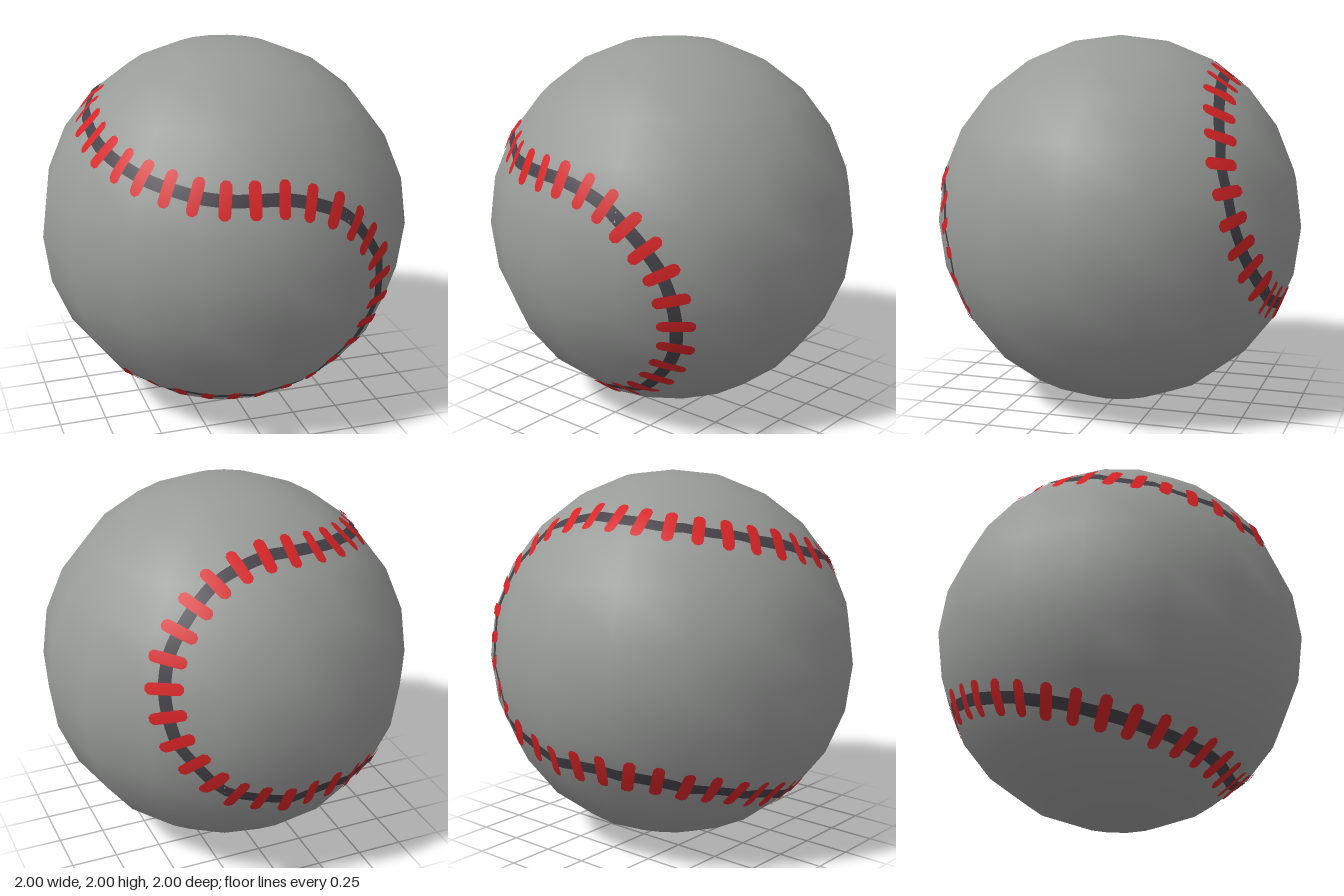
import * as THREE from 'three';

const leather = new THREE.MeshStandardMaterial({ color: 0x999b99 });
leather.name = 'greyLeather';
const dark = new THREE.MeshStandardMaterial({ color: 0x454249 });
dark.name = 'darkSeam';
const red = new THREE.MeshStandardMaterial({ color: 0xd82426 });
red.name = 'redThread';

const TILT = 14.6; // seam rotated about the x axis, degrees
const STITCHES = 60;

// One quarter of the seam as [x, angle about the x axis]; the rest is mirrored.
const quarter = [
  [0.625, 0], [0.59, 15], [0.52, 23], [0.43, 29.3], [0.32, 34.2], [0.19, 37.2],
  [0.05, 39], [-0.09, 39.7], [-0.22, 40.4], [-0.35, 42.2], [-0.46, 45.6],
  [-0.57, 50.7], [-0.65, 57.5], [-0.72, 67.5], [-0.755, 79], [-0.765, 90],
];

function seamCurve() {
  const back = quarter.slice(1, -1).reverse().map(([x, a]) => [x, 180 - a]);
  const half = [...quarter, ...back];
  const loop = [...half, ...half.map(([x, a]) => [x, a + 180])];
  const points = loop.map(([x, a]) => {
    const r = Math.sqrt(1 - x * x);
    const phi = THREE.MathUtils.degToRad(a - TILT);
    return new THREE.Vector3(x, r * Math.sin(phi), r * Math.cos(phi));
  });
  const curve = new THREE.CatmullRomCurve3(points, true, 'centripetal');
  curve.arcLengthDivisions = 2000;
  return curve;
}

// Grid of directions laid onto the ball's facets with a small lift.
function patch(ball, nu, nv, direction, lift) {
  const ray = new THREE.Raycaster();
  const position = [], normal = [], index = [];
  for (let j = 0; j <= nv; j++) {
    for (let i = 0; i <= nu; i++) {
      const d = direction(i / nu, j / nv).normalize();
      ray.set(d.clone().multiplyScalar(2), d.clone().negate());
      const hit = ray.intersectObject(ball)[0];
      const r = (hit ? hit.point.length() : 0.99) + lift;
      position.push(d.x * r, d.y * r, d.z * r);
      normal.push(d.x, d.y, d.z);
      if (i < nu && j < nv) {
        const a = j * (nu + 1) + i, b = a + nu + 1;
        index.push(a, a + 1, b + 1, a, b + 1, b);
      }
    }
  }
  const g = new THREE.BufferGeometry();
  g.setAttribute('position', new THREE.Float32BufferAttribute(position, 3));
  g.setAttribute('normal', new THREE.Float32BufferAttribute(normal, 3));
  g.setIndex(index);
  return g;
}

export function createModel() {
  const group = new THREE.Group();
  group.name = 'ball';

  const ball = new THREE.Mesh(new THREE.SphereGeometry(1, 16, 12), leather);
  ball.name = 'cover';
  group.add(ball);

  // Point on the seam, offset along it (w) and across it (s)
  const curve = seamCurve();
  const frame = (u) => {
    const p = curve.getPointAt(u % 1).normalize();
    const t = curve.getTangentAt(u % 1);
    return { p, t, b: p.clone().cross(t).normalize() };
  };
  const offset = ({ p, t, b }, w, s) =>
    p.clone().addScaledVector(t, w).addScaledVector(b, s);

  // Dark seam band
  const band = patch(ball, 360, 2, (u, v) => offset(frame(u), 0, (v - 0.5) * 0.066), 0.003);
  const seam = new THREE.Mesh(band, dark);
  seam.name = 'seam';
  group.add(seam);

  // Red stitches with rounded ends across the seam
  const stitches = new THREE.Group();
  stitches.name = 'stitches';
  for (let i = 0; i < STITCHES; i++) {
    const f = frame((i + 0.5) / STITCHES);
    const g = patch(ball, 4, 12, (u, v) => {
      const s = v * 2 - 1;
      const w = 0.031 * (0.4 + 0.6 * Math.sqrt(1 - s ** 8));
      return offset(f, (u * 2 - 1) * w, s * 0.098);
    }, 0.007);
    const stitch = new THREE.Mesh(g, red);
    stitch.name = 'stitch';
    stitches.add(stitch);
  }
  group.add(stitches);

  group.position.y = 1;
  const model = new THREE.Group();
  model.name = 'model';
  model.add(group);
  return model;
}
